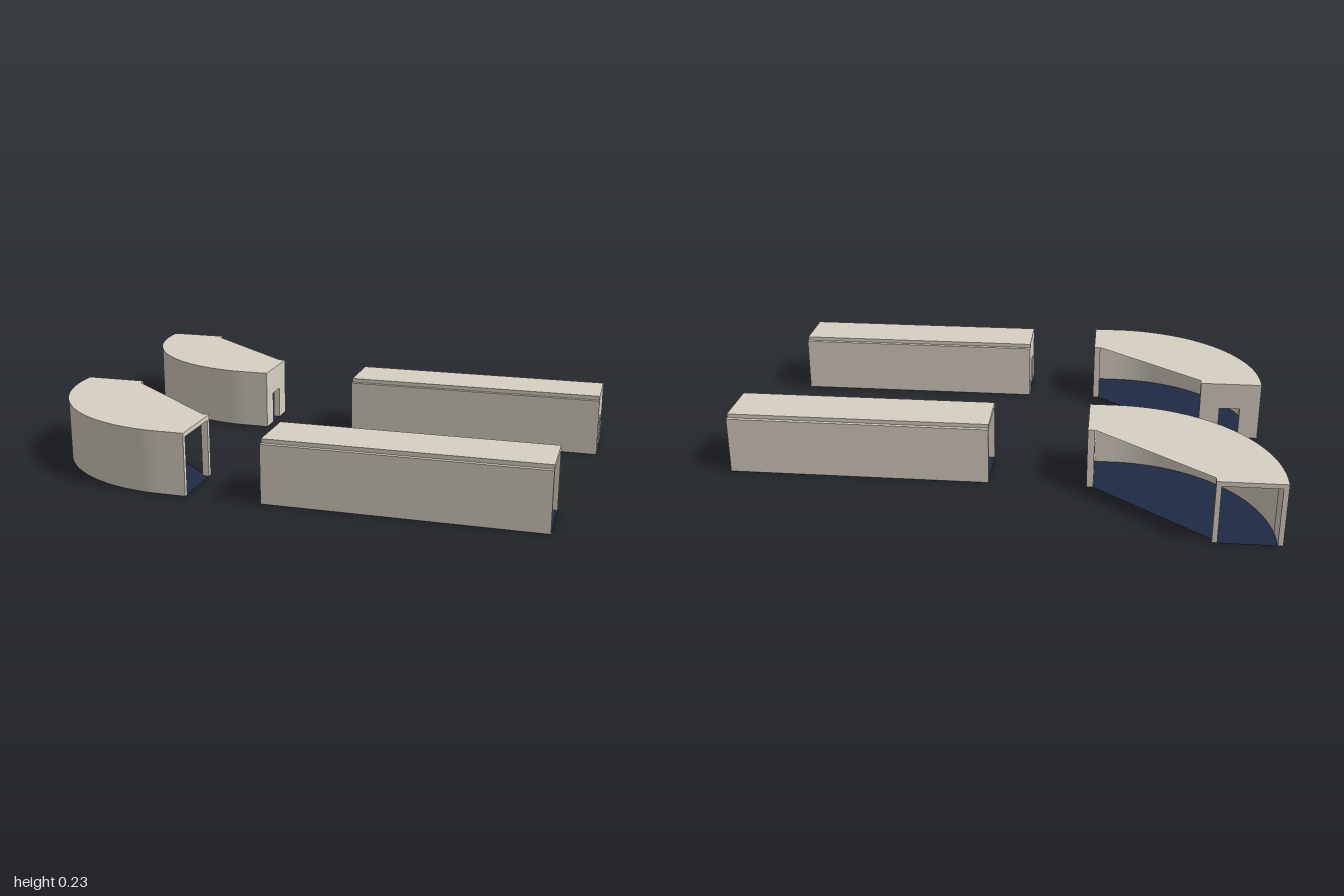
import * as THREE from 'three';

const H = 0.23, W = 0.235, T = 0.018, STEP = 0.015, LIFT = 0.001;
const DOOR_W = 0.08, DOOR_H = 0.125;

const wallMat = new THREE.MeshStandardMaterial({ color: 0xd8d0c3, side: THREE.DoubleSide });
wallMat.name = 'warm stone';
const floorMat = new THREE.MeshStandardMaterial({ color: 0x1f2a44, side: THREE.DoubleSide });
floorMat.name = 'navy floor';

function add(parent, name, geometry, material = wallMat) {
  const mesh = new THREE.Mesh(geometry, material);
  mesh.name = name;
  parent.add(mesh);
  return mesh;
}

const shapeOf = (pts) => new THREE.Shape(pts.map(([x, y]) => new THREE.Vector2(x, y)));
const extrude = (shape, depth) =>
  new THREE.ExtrudeGeometry(shape, { depth, bevelEnabled: false, curveSegments: 32 });

// Cross-section with an opening to the ground; step notches both upper corners
function section(openW, openH, step) {
  const w = W / 2, o = openW / 2, top = H - LIFT;
  const left = [[-w, LIFT], [-w, top - step], [-w + step, top - step], [-w + step, top]];
  const upper = step ? left : [[-w, LIFT], [-w, top]];
  const right = upper.map(([x, y]) => [-x, y]).reverse();
  return shapeOf([...upper, ...right, [o, LIFT], [o, openH], [-o, openH], [-o, LIFT]]);
}

// Straight corridor along x, doorway at one end (side = 1 is +x), open at the other
function straightHall(name, x0, x1, z, side) {
  const g = new THREE.Group();
  g.name = name;
  const len = x1 - x0;
  const shell = add(g, 'hallShell', extrude(section(W - 2 * T, H - T, STEP), len - T).rotateY(Math.PI / 2));
  shell.position.x = side > 0 ? x0 : x0 + T;
  const door = add(g, 'doorWall', extrude(section(DOOR_W, DOOR_H, STEP), T).rotateY(Math.PI / 2));
  door.position.x = side > 0 ? x1 - T : x0;
  const floor = add(g, 'hallFloor', new THREE.PlaneGeometry(len, W).rotateX(-Math.PI / 2), floorMat);
  floor.position.x = (x0 + x1) / 2;
  g.position.z = z;
  return g;
}

// Curved corner: plan coordinates are (x, -z)
const CX = -0.43, CY = 0.70, R = 0.57, END = 0.025;
const X1 = -0.335, Y1 = 0.73;

function cornerPlan() {
  const s = new THREE.Shape();
  s.moveTo(-1, Y1);
  s.lineTo(-1, CY);
  s.absarc(CX, CY, R, Math.PI, 1.5 * Math.PI, false);
  s.lineTo(X1, CY - R);
  s.lineTo(X1, CY - R + W);
  s.lineTo(X1 - END, CY - R + W);
  s.lineTo(-1 + W, Y1 - END);
  s.lineTo(-1 + W, Y1);
  s.closePath();
  return s;
}

function curvedWall() {
  const s = new THREE.Shape();
  s.moveTo(-1, Y1 - END);
  s.lineTo(-1, CY);
  s.absarc(CX, CY, R, Math.PI, 1.5 * Math.PI, false);
  s.lineTo(X1 - END, CY - R);
  s.lineTo(X1 - END, CY - R + T);
  s.lineTo(CX, CY - R + T);
  s.absarc(CX, CY, R - T, 1.5 * Math.PI, Math.PI, true);
  s.lineTo(-1 + T, Y1 - END);
  s.closePath();
  return extrude(s, H - 2 * LIFT).rotateX(-Math.PI / 2).translate(0, LIFT, 0);
}

function curvedHall(name, zShift, doorOnSide) {
  const g = new THREE.Group();
  g.name = name;
  const plan = () => new THREE.ShapeGeometry(cornerPlan(), 32).rotateX(-Math.PI / 2);
  add(g, 'cornerFloor', plan(), floorMat);
  add(g, 'cornerRoof', plan()).position.y = H;
  add(g, 'curvedWall', curvedWall());
  // End frames: one narrow doorway, one wide opening
  const end = (isDoor) => extrude(
    isDoor ? section(DOOR_W, DOOR_H, 0) : section(W - 2 * T, H - T, 0), END);
  add(g, 'sideEndFrame', end(doorOnSide).rotateY(Math.PI / 2))
    .position.set(X1 - END, 0, -(CY - R + W / 2));
  add(g, 'backEndFrame', end(!doorOnSide)).position.set(-1 + W / 2, 0, -Y1);
  g.position.z = zShift;
  return g;
}

export function createModel() {
  const model = new THREE.Group();
  model.name = 'corridorSet';
  model.add(
    straightHall('backStraightHall', 0.025, 1.0, -0.25, 1),
    straightHall('frontStraightHall', -0.06, 0.915, 0.605, -1),
    curvedHall('backCurvedHall', 0, true),
    curvedHall('frontCurvedHall', 0.855, false),
  );
  return model;
}
